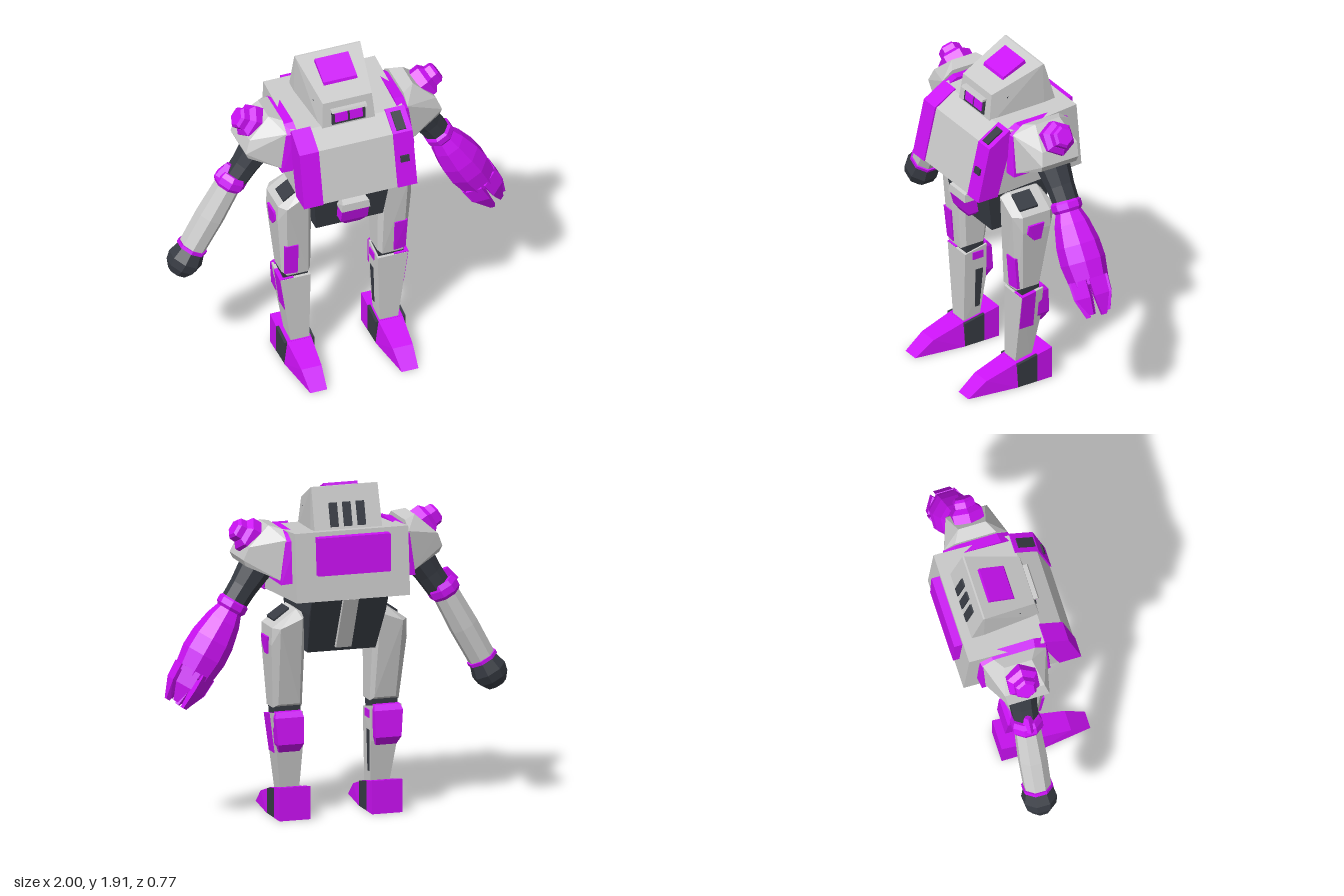
import * as THREE from 'three';
import { ConvexGeometry } from 'three/addons/geometries/ConvexGeometry.js';

const paint = (color) => new THREE.MeshStandardMaterial({ color, flatShading: true });

export function createModel() {
  const grey = paint(0xcccccc), purple = paint(0xcc11f5), dark = paint(0x383c44);
  const model = new THREE.Group();
  const body = new THREE.Group();
  body.name = 'body';
  body.position.x = -0.008;
  model.add(body);

  const add = (name, geo, mat, parent = body) => {
    const m = new THREE.Mesh(geo, mat);
    m.name = name;
    parent.add(m);
    return m;
  };
  // convex faceted solid through corner points; s = -1 mirrors it to the other side
  const hull = (name, pts, mat, s = 1) =>
    add(name, new ConvexGeometry(pts.map(([x, y, z]) => new THREE.Vector3(x * s, y, z))), mat);
  // side profile of [z, y] points stretched from x0 to x1
  const prof = (name, zy, x0, x1, mat, s = 1) =>
    hull(name, zy.flatMap(([z, y]) => [[x0, y, z], [x1, y, z]]), mat, s);
  // stacked rectangles [y, x0, x1, z0, z1, chamfer]
  const block = (name, rows, mat, s = 1) =>
    hull(name, rows.flatMap(([y, x0, x1, z0, z1, c = 0]) => (c
      ? [[x0 + c, y, z0], [x1 - c, y, z0], [x0 + c, y, z1], [x1 - c, y, z1],
        [x0, y, z0 + c], [x1, y, z0 + c], [x0, y, z1 - c], [x1, y, z1 - c]]
      : [[x0, y, z0], [x0, y, z1], [x1, y, z0], [x1, y, z1]])), mat, s);
  // group whose local -y axis runs from a towards b
  const limb = (name, a, b) => {
    const g = new THREE.Group();
    const dir = new THREE.Vector3(...b).sub(new THREE.Vector3(...a)).normalize();
    g.name = name;
    g.position.set(...a);
    g.quaternion.setFromUnitVectors(new THREE.Vector3(0, -1, 0), dir);
    model.add(g);
    return g;
  };
  // faceted turned solid, [radius, distance along limb]
  const turned = (name, rt, mat, parent, sides = 8) => {
    const pts = [[0, rt[0][1]], ...rt, [0, rt[rt.length - 1][1]]].map(([r, t]) => new THREE.Vector2(r, -t)).reverse();
    return add(name, new THREE.LatheGeometry(pts, sides, Math.PI / sides), mat, parent);
  };

  // Torso
  prof('torso', [[0.32, 1.25], [0.245, 1.565], [0.125, 1.64], [-0.325, 1.68], [-0.358, 1.29]], -0.333, 0.333, grey);
  for (const s of [1, -1])
    prof('chestStrip', [[0.328, 1.25], [0.254, 1.57], [0.12, 1.652], [0.1, 1.6], [0.2, 1.25]], 0.222, 0.337, purple, s);
  prof('upperChestVent', [[0.244, 1.585], [0.148, 1.645], [0.14, 1.63], [0.235, 1.57]], 0.247, 0.303, dark);
  prof('lowerChestVent', [[0.304, 1.4], [0.296, 1.435], [0.27, 1.435], [0.27, 1.4]], 0.25, 0.302, dark);
  prof('backPanel', [[-0.32, 1.655], [-0.375, 1.655], [-0.382, 1.44], [-0.33, 1.44]], -0.213, 0.213, purple);

  // Head
  block('head', [[1.6, -0.16, 0.16, 0.13, 0.142], [1.785, -0.146, 0.146, 0.1, 0.117],
    [1.91, -0.195, 0.195, -0.2, -0.19], [1.62, -0.2, 0.2, -0.285, -0.2]], grey);
  prof('crownPlate', [[0.015, 1.82], [0.008, 1.845], [-0.132, 1.912], [-0.145, 1.88]], -0.1, 0.1, purple);
  prof('visor', [[0.143, 1.645], [0.132, 1.73], [0.1, 1.73], [0.1, 1.645]], -0.1, 0.1, dark);
  prof('brow', [[0.155, 1.73], [0.148, 1.743], [0.1, 1.743], [0.1, 1.73]], -0.105, 0.105, grey);
  for (const s of [1, -1]) {
    prof('eye', [[0.147, 1.66], [0.14, 1.715], [0.11, 1.715], [0.11, 1.66]], 0.007, 0.082, purple, s);
    const u = (z) => 0.171 - 0.115 * z;
    hull('sideWindow', [[0.03, 1.64], [0.03, 1.755], [-0.155, 1.79], [-0.155, 1.64]]
      .flatMap(([z, y]) => [[u(z), y, z], [u(z) - 0.05, y, z]]), dark, s);
  }
  for (const x of [-0.08, 0, 0.08])
    prof('rearSlot', [[-0.272, 1.69], [-0.236, 1.82], [-0.2, 1.82], [-0.2, 1.69]], x - 0.024, x + 0.024, dark);

  // Waist
  block('waist', [[1.28, -0.225, 0.225, -0.3, 0.19], [1.19, -0.225, 0.225, -0.255, 0.19],
    [0.955, -0.2, 0.2, -0.15, 0.15]], dark);
  prof('spineRib', [[-0.32, 1.28], [-0.19, 0.98], [-0.15, 0.98], [-0.25, 1.28]], -0.045, 0.045, grey);
  prof('beltBlock', [[0.23, 1.25], [0.22, 1.175], [0.15, 1.175], [0.15, 1.25]], -0.065, 0.065, purple);
  hull('pelvisGuardTop', [[-0.06, 1.175, 0.19], [0.06, 1.175, 0.19], [-0.08, 1.15, 0.25], [0.08, 1.15, 0.25],
    [-0.085, 1.105, 0.255], [0.085, 1.105, 0.255], [-0.085, 1.105, 0.15], [0.085, 1.105, 0.15]], grey);
  block('pelvisGuard', [[1.11, -0.08, 0.08, 0.15, 0.25], [1.02, -0.08, 0.08, 0.14, 0.225],
    [0.987, -0.045, 0.045, 0.14, 0.205]], purple);

  for (const s of [1, -1]) {
    // Legs
    hull('thigh', [
      [0.2, 1.17, 0.08], [0.2, 1.17, -0.12], [0.255, 1.2, 0.07], [0.255, 1.2, -0.11],
      [0.395, 1.1, 0.07], [0.395, 1.1, -0.11], [0.36, 1.1, 0.12], [0.36, 1.1, -0.16],
      [0.23, 1.17, 0.115], [0.23, 1.15, -0.155], [0.398, 1.0, 0.07], [0.398, 1.0, -0.11],
      [0.2, 0.63, 0.06], [0.2, 0.63, -0.05], [0.37, 0.63, 0.055], [0.37, 0.63, -0.05],
      [0.22, 0.615, 0.085], [0.345, 0.615, 0.085], [0.22, 0.65, -0.075], [0.345, 0.65, -0.075]], grey, s);
    hull('hipHatch', [[0.275, 1.195, 0.07], [0.275, 1.195, -0.05], [0.365, 1.135, 0.07], [0.365, 1.135, -0.05],
      [0.275, 1.16, 0.07], [0.275, 1.16, -0.05], [0.36, 1.11, 0.07], [0.36, 1.11, -0.05]], dark, s);
    hull('thighPanel', [[0.287, 0.83, 0.11], [0.365, 0.83, 0.105], [0.287, 0.63, 0.094], [0.36, 0.63, 0.085],
      [0.287, 0.83, 0.05], [0.365, 0.83, 0.05], [0.287, 0.63, 0.05], [0.36, 0.63, 0.05]], purple, s);
    hull('hipBadge', [[1.04, 0.04], [1.04, -0.07], [0.99, 0.05], [0.94, 0.0], [0.94, -0.05]]
      .flatMap(([y, z]) => [[0.36, y, z], [y > 1 ? 0.41 : 0.404, y, z * 0.9]]), purple, s);
    block('knee', [[0.64, 0.21, 0.36, -0.06, 0.06], [0.55, 0.21, 0.36, -0.055, 0.05]], dark, s);
    hull('shin', [[0.2, 0.575, 0.068], [0.38, 0.575, 0.068], [0.2, 0.605, -0.075], [0.38, 0.605, -0.075],
      [0.2, 0.4, -0.07], [0.355, 0.4, -0.07], [0.21, 0.13, 0.072], [0.318, 0.13, 0.072],
      [0.21, 0.13, -0.03], [0.318, 0.13, -0.03]], grey, s);
    hull('shinPanel', [[0.384, 0.58, 0.066], [0.384, 0.595, -0.025], [0.354, 0.365, 0.066], [0.354, 0.365, -0.025],
      [0.3, 0.58, 0.066], [0.3, 0.595, -0.025], [0.3, 0.365, 0.066], [0.3, 0.365, -0.025]], purple, s);
    block('calfArmour', [[0.61, 0.215, 0.365, -0.09, -0.06], [0.58, 0.208, 0.375, -0.112, -0.05],
      [0.43, 0.212, 0.362, -0.125, -0.05], [0.38, 0.225, 0.345, -0.085, -0.05]], purple, s);
    block('innerShinTab', [[0.575, 0.194, 0.25, -0.05, 0.02], [0.53, 0.194, 0.25, -0.05, 0.02]], purple, s);
    block('innerShinSlot', [[0.46, 0.198, 0.25, -0.05, 0.0], [0.22, 0.204, 0.25, -0.03, 0.0]], dark, s);

    // Feet
    hull('toe', [[0.182, 0, 0.08], [0.362, 0, 0.08], [0.2, 0.145, 0.08], [0.344, 0.145, 0.08],
      [0.212, 0.085, 0.27], [0.332, 0.085, 0.27], [0.222, 0, 0.385], [0.322, 0, 0.385]], purple, s);
    prof('heel', [[-0.05, 0], [-0.05, 0.171], [-0.145, 0.19], [-0.145, 0]], 0.182, 0.362, purple, s);
    prof('ankleBand', [[0.08, 0], [0.08, 0.143], [-0.05, 0.169], [-0.05, 0]], 0.183, 0.361, dark, s);
    prof('instep', [[0.08, 0.1], [0.08, 0.146], [-0.05, 0.172], [-0.05, 0.1]], 0.2, 0.344, purple, s);

    // Shoulders
    hull('shoulderCollar', [[1.63, 0.13], [1.39, 0.145], [1.39, -0.285], [1.63, -0.27], [1.665, 0.06], [1.665, -0.2]]
      .flatMap(([y, z]) => [[0.3, y, z], [y > 1.5 ? 0.365 : 0.395, y - 0.01, z * 0.93 - 0.005]]), purple, s);
    hull('shoulder', [[0.36, 1.63, 0.115], [0.36, 1.63, -0.255], [0.39, 1.4, 0.115], [0.39, 1.4, -0.25],
      [0.36, 1.68, 0.05], [0.36, 1.68, -0.19], [0.43, 1.7, 0.01], [0.43, 1.7, -0.15],
      [0.555, 1.59, 0.045], [0.555, 1.59, -0.185], [0.585, 1.515, 0.065], [0.585, 1.515, -0.175],
      [0.57, 1.48, 0.06], [0.57, 1.48, -0.17]], grey, s);
    const cap = limb('shoulderCap', [s * 0.49, 1.615, -0.07], [s * 0.57, 1.665, -0.07]);
    turned('capBase', [[0.1, 0], [0.1, 0.055], [0.07, 0.08]], purple, cap, 6);
    turned('capTip', [[0.068, 0.07], [0.065, 0.115], [0.05, 0.13]], purple, cap, 6);

    // Upper arms
    const upper = limb('upperArm', [s * 0.41, 1.54, -0.07], [s * 0.615, 1.24, -0.078]);
    turned('upperArmShell', [[0.1, 0], [0.098, 0.1], [0.08, 0.24], [0.075, 0.36]], dark, upper);
  }

  // Plain forearm with fist
  const right = limb('rightForearm', [-0.605, 1.29, -0.08], [-0.865, 0.817, -0.09]);
  turned('elbowCuff', [[0.08, 0], [0.093, 0.03], [0.093, 0.07], [0.08, 0.09]], purple, right);
  const crest = add('cuffCrest', new THREE.CylinderGeometry(0.02, 0.045, 0.09, 4, 1), purple, right);
  crest.position.set(-0.062, 0.0, 0);
  turned('forearmShell', [[0.075, 0.05], [0.084, 0.3], [0.08, 0.52]], grey, right);
  turned('wristRing', [[0.09, 0.51], [0.09, 0.53]], purple, right);
  turned('fist', [[0.08, 0.525], [0.102, 0.6], [0.092, 0.65], [0.06, 0.695]], dark, right);

  // Armoured forearm with claw hand
  const left = limb('leftForearm', [0.6, 1.26, -0.075], [0.92, 0.735, -0.075]);
  turned('elbowCuff', [[0.07, -0.02], [0.088, 0], [0.088, 0.035], [0.072, 0.055]], purple, left);
  turned('forearmShell', [[0.07, 0.04], [0.1, 0.12], [0.125, 0.24], [0.13, 0.34], [0.112, 0.47], [0.07, 0.5]], purple, left);
  for (let i = 0; i < 6; i++) {
    const a = (i / 6) * Math.PI * 2;
    const len = 0.655 - 0.015 * (i % 2);
    const ring = [[0.44, 0.06, 0.112, 0.052], [0.54, 0.065, 0.108, 0.048], [len, 0.045, 0.072, 0.014]];
    const pts = ring.flatMap(([t, r0, r1, w]) => [[r0, w * 0.7], [r0, -w * 0.7], [r1, w], [r1, -w]]
      .map(([r, d]) => new THREE.Vector3(r, -t, d)));
    add('clawFinger', new ConvexGeometry(pts), purple, left).rotation.y = a;
  }
  return model;
}
